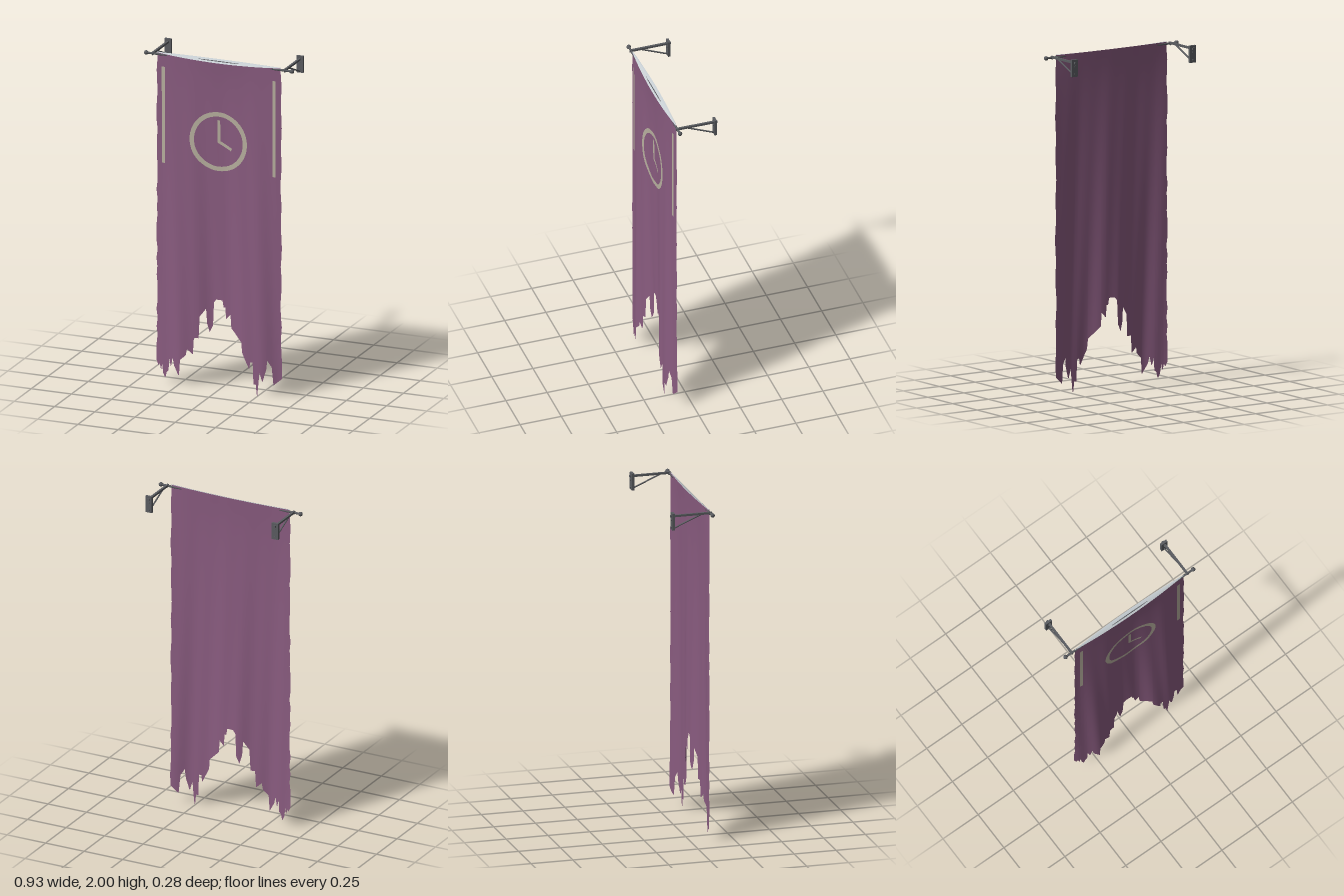
import * as THREE from 'three';

const HALF = 0.385, ROD_Y = 1.978, ROD_Z = 0.1;

// Ragged lower hem as x, y pairs, from right to left of the model
const HEM = [
  -0.385, 0.13, -0.375, 0.1, -0.366, 0.12, -0.36, 0.08, -0.35, 0.12, -0.344, 0.06, -0.33, 0.035,
  -0.322, 0.07, -0.31, 0.08, -0.305, 0.16, -0.292, 0.11, -0.28, 0.17, -0.268, 0.12, -0.236, 0.065,
  -0.23, 0.16, -0.197, 0.19, -0.19, 0.23, -0.156, 0.2, -0.15, 0.3, -0.122, 0.3, -0.116, 0.43,
  -0.08, 0.48, -0.074, 0.39, -0.06, 0.34, -0.042, 0.38, -0.036, 0.52, -0.02, 0.54, 0.02, 0.54,
  0.027, 0.5, 0.037, 0.5, 0.043, 0.43, 0.07, 0.46, 0.076, 0.38, 0.148, 0.31, 0.154, 0.25,
  0.198, 0.16, 0.204, 0.2, 0.22, 0.2, 0.226, 0.07, 0.24, 0.07, 0.248, 0.0, 0.255, 0.07,
  0.262, 0.15, 0.28, 0.09, 0.3, 0.16, 0.306, 0.22, 0.33, 0.18, 0.342, 0.07, 0.385, 0.11,
];

const bulge = (x) => 1 - (x / HALF) ** 2;
const topY = (x, side) => (side > 0 ? 1.988 - 0.015 * bulge(x) : 1.99);

// Depth of the front (side 1) or back (side -1) layer of cloth
function clothZ(x, y, side) {
  const t = Math.max(0, (1.98 - y) / 1.98);
  const wave = t * (0.01 - 0.022 * Math.cos((x * Math.PI * 2) / 0.44));
  const folds = t * 0.004 * Math.sin(x * 48 + y * 2);
  const pocket = 0.002 + 0.014 * bulge(x) * Math.exp(-t * 12);
  return ROD_Z + wave + folds + side * pocket;
}

// Columns of the cloth: every hem point, with wide gaps subdivided
function columns() {
  const cols = [];
  for (let i = 0; i + 3 < HEM.length; i += 2) {
    const [x0, y0, x1, y1] = HEM.slice(i, i + 4);
    const n = Math.ceil((x1 - x0) / 0.016);
    for (let k = 0; k < n; k++) cols.push([x0 + ((x1 - x0) * k) / n, y0 + ((y1 - y0) * k) / n]);
  }
  cols.push(HEM.slice(-2));
  return cols;
}

function gridGeometry(cols, rows, point, flip) {
  const pos = [], index = [], w = rows + 1;
  cols.forEach((c, i) => {
    for (let j = 0; j <= rows; j++) {
      pos.push(...point(c, j / rows));
      if (i && j) {
        const a = (i - 1) * w + j - 1, b = i * w + j - 1;
        if (flip) index.push(a, b + 1, b, a, a + 1, b + 1);
        else index.push(a, b, b + 1, a, b + 1, a + 1);
      }
    }
  });
  const geo = new THREE.BufferGeometry();
  geo.setAttribute('position', new THREE.Float32BufferAttribute(pos, 3));
  geo.setIndex(index);
  geo.computeVertexNormals();
  return geo;
}

// Lay a flat shape onto the front of the cloth
function drape(geo) {
  const p = geo.attributes.position;
  for (let i = 0; i < p.count; i++) p.setZ(i, clothZ(p.getX(i), p.getY(i), 1) + 0.003);
  geo.computeVertexNormals();
  return geo;
}

export function createModel() {
  const model = new THREE.Group();
  model.name = 'hangingBanner';
  const mat = (name, color, side = THREE.FrontSide) => {
    const m = new THREE.MeshStandardMaterial({ color, side });
    m.name = name;
    return m;
  };
  const cloth = mat('purpleCloth', 0x8a5c80, THREE.DoubleSide);
  const paint = mat('palePaint', 0xb8b09f);
  const metal = mat('darkMetal', 0x5a5c60);
  const pale = mat('paleLining', 0xc6cdd1, THREE.DoubleSide);

  const add = (name, geo, material, parent = model) => {
    const mesh = new THREE.Mesh(geo, material);
    mesh.name = name;
    parent.add(mesh);
    return mesh;
  };
  // Round bar between two points
  const bar = (name, a, b, r, parent) => {
    const from = new THREE.Vector3(...a), to = new THREE.Vector3(...b);
    const m = add(name, new THREE.CylinderGeometry(r, r, from.distanceTo(to), 12), metal, parent);
    m.position.copy(from).add(to).multiplyScalar(0.5);
    m.quaternion.setFromUnitVectors(new THREE.Vector3(0, 1, 0), to.sub(from).normalize());
    return m;
  };

  // Two cloth layers forming a pocket at the rod, with slightly frayed sides
  const cols = columns();
  for (const side of [1, -1]) {
    const point = ([x, bottom], v) => {
      const y = bottom + (topY(x, side) - bottom) * v;
      const fray = 0.004 * Math.sin(y * 43 + Math.sin(y * 17) * 2) * (x / HALF) ** 9;
      return [x + fray, y, clothZ(x, y, side)];
    };
    add(side > 0 ? 'clothFront' : 'clothBack', gridGeometry(cols, 36, point, side < 0), cloth);
  }

  // Pale lining across the top of the pocket
  add('pocketLining', gridGeometry(cols, 2, ([x], v) => {
    const front = topY(x, 1), back = topY(x, -1);
    const zf = clothZ(x, front, 1), zb = clothZ(x, back, -1);
    return [x, front + (back - front) * v + 0.004 * Math.sin(v * Math.PI), zf + (zb - zf) * v];
  }, false), pale);

  // Painted dial, hands and side stripes
  const dial = new THREE.RingGeometry(0.151, 0.178, 72, 2);
  add('dialRing', drape(dial.translate(0, 1.498, 0)), paint);
  const longHand = new THREE.PlaneGeometry(0.018, 0.135, 2, 10);
  add('longHand', drape(longHand.translate(0, 1.56, 0)), paint);
  const shortHand = new THREE.PlaneGeometry(0.09, 0.018, 8, 2).rotateZ(-0.46);
  add('shortHand', drape(shortHand.translate(0.039, 1.478, 0)), paint);
  for (const s of [-1, 1]) {
    const stripe = new THREE.PlaneGeometry(0.02, 0.58, 2, 40);
    add('sideStripe', drape(stripe.translate(s * 0.344, 1.618, 0)), paint);
  }

  // Rod with a ball at each end
  bar('rod', [-0.455, ROD_Y, ROD_Z], [0.455, ROD_Y, ROD_Z], 0.0065);

  // Wall brackets
  for (const s of [-1, 1]) {
    const x = s * 0.41;
    const ball = add('rodBall', new THREE.SphereGeometry(0.013, 16, 12), metal);
    ball.position.set(s * 0.453, ROD_Y, ROD_Z);

    const bracket = new THREE.Group();
    bracket.name = s > 0 ? 'leftBracket' : 'rightBracket';
    model.add(bracket);
    const plate = add('wallPlate', new THREE.BoxGeometry(0.042, 0.1, 0.015), metal, bracket);
    plate.position.set(x, 1.95, -0.125);
    const arm = add('arm', new THREE.BoxGeometry(0.013, 0.012, 0.248), metal, bracket);
    arm.position.set(x, 1.981, -0.016);
    bar('brace', [x, 1.978, 0.045], [x, 1.908, -0.12], 0.0045, bracket);
    const collar = add('rodCollar', new THREE.TorusGeometry(0.0085, 0.003, 8, 16), metal, bracket);
    collar.rotation.y = Math.PI / 2;
    collar.position.set(x, ROD_Y, ROD_Z);
    for (const y of [1.915, 1.96]) bar('bolt', [x, y, -0.137], [x, y, -0.113], 0.006, bracket);
  }
  return model;
}
